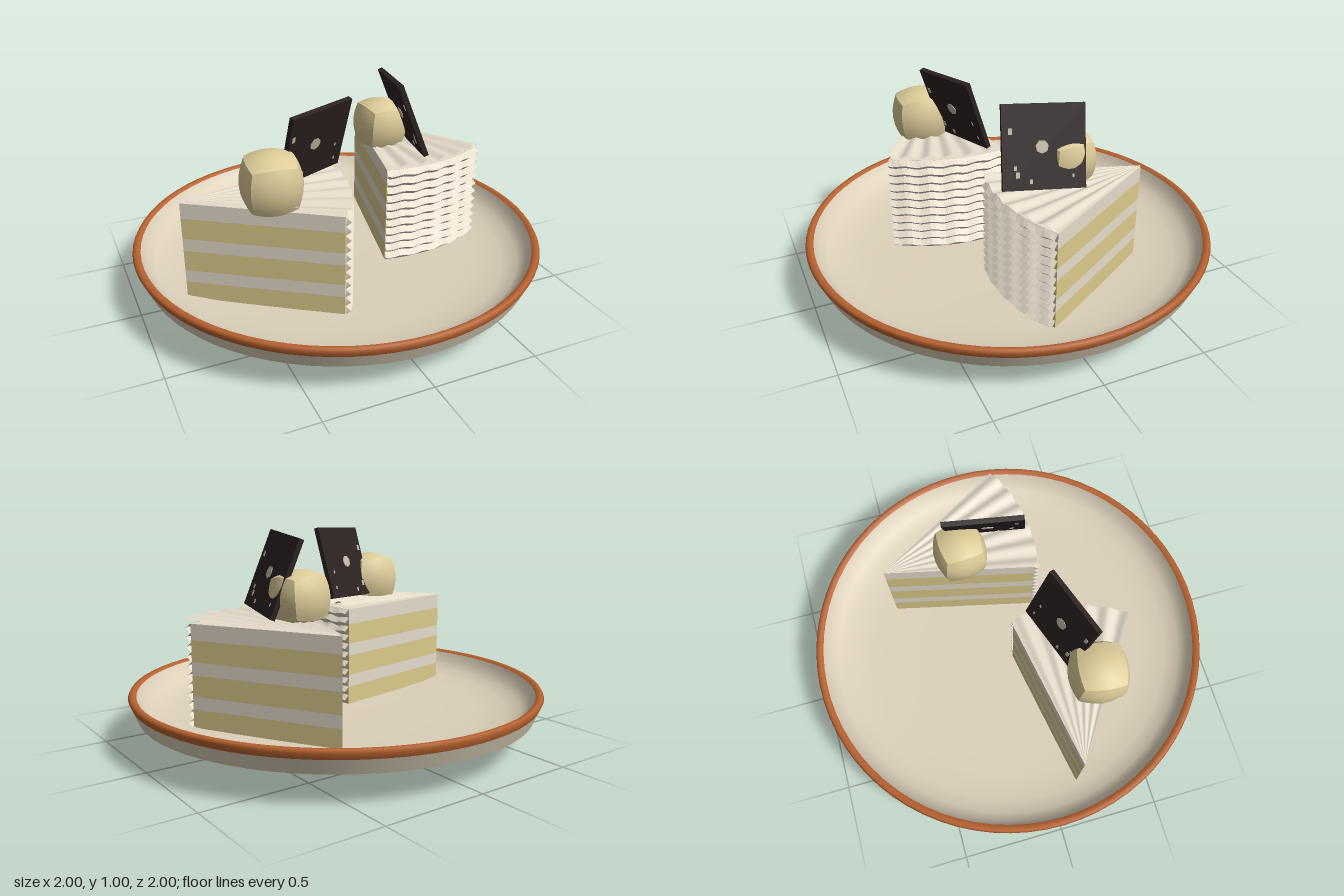
import * as THREE from 'three';

const mat = (name, color, side = THREE.FrontSide) => {
  const m = new THREE.MeshStandardMaterial({ color, side });
  m.name = name;
  return m;
};
const plateGlaze = mat('plate glaze', 0xddd1ba);
const rimOrange = mat('rim orange', 0xb8622f);
const cream = mat('cream', 0xe6dccb, THREE.DoubleSide);
const sponge = mat('sponge', 0xdccb8c);
const truffleYellow = mat('truffle yellow', 0xddcc98);
const chocolate = mat('chocolate', 0x2d2121);
const fleckGrey = mat('fleck', 0xc4bba6);

const HALF = 0.385; // half the opening angle of a slice
const R = 0.745, FLOOR = 0.12, TOP = 0.605;

function add(parent, name, geometry, material) {
  const m = new THREE.Mesh(geometry, material);
  m.name = name;
  parent.add(m);
  return m;
}
const lathe = (pts, segs, a, len) =>
  new THREE.LatheGeometry(pts.map(p => new THREE.Vector2(...p)), segs, a, len);

function flat(g) {
  const f = g.toNonIndexed();
  f.computeVertexNormals();
  return f;
}

// Wedge-shaped layer with its tip at the origin, opening towards +z
function wedge(y0, y1) {
  const s = new THREE.Shape();
  s.moveTo(0, 0);
  const n = 12;
  for (let i = 0; i <= n; i++) {
    const a = HALF - (2 * HALF * i) / n;
    s.lineTo((R - 0.015) * Math.sin(a), -(R - 0.015) * Math.cos(a));
  }
  const g = new THREE.ExtrudeGeometry(s, { depth: y1 - y0, bevelEnabled: false });
  g.rotateX(-Math.PI / 2);
  g.translate(0, y0, 0);
  return g;
}

// Zigzag frosting on the round back of a slice, with a slight waviness
function ridges() {
  const pts = [], n = 11, step = (TOP - FLOOR) / n;
  for (let i = 0; i <= n; i++) {
    pts.push([R - 0.014, FLOOR + i * step]);
    if (i < n) pts.push([R + 0.012, FLOOR + (i + 0.5) * step]);
  }
  const g = lathe(pts, 24, -HALF, 2 * HALF);
  const p = g.attributes.position;
  for (let i = 0; i < p.count; i++) {
    const y = p.getY(i);
    if (y > FLOOR + 0.01 && y < TOP - 0.01) {
      p.setY(i, y + 0.004 * Math.sin(Math.atan2(p.getX(i), p.getZ(i)) * 40));
    }
  }
  return flat(g);
}

// Rippled sheet fanning out from the tip
function topSheet() {
  const g = new THREE.PlaneGeometry(1, 1, 60, 8);
  const p = g.attributes.position;
  for (let i = 0; i < p.count; i++) {
    const u = p.getX(i), t = 0.5 - p.getY(i);
    const a = u * 2 * HALF, r = t * (R + 0.005);
    const y = 0.612 + t * (0.02 + 0.009 * Math.sin(u * Math.PI * 11));
    p.setXYZ(i, r * Math.sin(a), y, r * Math.cos(a));
  }
  g.computeVertexNormals();
  return g;
}

// Swollen cube with soft faces and creased edges
function truffle(radius) {
  const g = new THREE.BoxGeometry(2, 2, 2, 8, 8, 8);
  const p = g.attributes.position, v = new THREE.Vector3();
  for (let i = 0; i < p.count; i++) {
    v.fromBufferAttribute(p, i);
    v.lerp(v.clone().normalize(), 0.74).multiplyScalar(radius);
    p.setXYZ(i, v.x, v.y, v.z);
  }
  g.computeVertexNormals();
  return g;
}

// Leaning chocolate tile placed by its bottom and top middle points
function tile(bottom, top, along, width) {
  const group = new THREE.Group();
  group.name = 'chocolateTile';
  const b = new THREE.Vector3(...bottom), t = new THREE.Vector3(...top);
  const x = new THREE.Vector3(...along).normalize();
  const up = t.clone().sub(b), h = up.length();
  const z = x.clone().cross(up).normalize();
  const y = z.clone().cross(x);
  group.applyMatrix4(new THREE.Matrix4().makeBasis(x, y, z).setPosition(b.add(t).multiplyScalar(0.5)));
  const thick = 0.024;
  add(group, 'tileSlab', new THREE.BoxGeometry(width, h, thick), chocolate);
  // Pale spots showing on both faces
  const spot = new THREE.CylinderGeometry(0.03, 0.03, thick + 0.006, 7).rotateX(Math.PI / 2);
  add(group, 'centreSpot', spot, fleckGrey).position.set(-0.01, 0, 0);
  const flecks = [[0.12, -0.05], [-0.13, -0.09], [-0.15, 0.07], [0.13, -0.13], [-0.06, -0.15], [-0.12, -0.12]];
  flecks.forEach(([fx, fy], i) => {
    const s = 0.009 + 0.004 * (i % 3);
    add(group, 'fleck', new THREE.BoxGeometry(s, s * 1.6, thick + 0.004), fleckGrey).position.set(fx, fy, 0);
  });
  return group;
}

function slice(name, x, z, turn) {
  const g = new THREE.Group();
  g.name = name;
  g.position.set(x, 0, z);
  g.rotation.y = turn;
  const levels = [FLOOR, 0.21, 0.27, 0.37, 0.43, 0.53, TOP];
  for (let i = 0; i < 6; i++) {
    const isCream = i % 2 === 1;
    add(g, isCream ? 'creamLayer' : 'spongeLayer', wedge(levels[i], levels[i + 1]), isCream ? cream : sponge);
  }
  add(g, 'ridgedFrosting', ridges(), cream);
  add(g, 'rippledTop', topSheet(), cream);
  return g;
}

export function createModel() {
  const model = new THREE.Group();
  model.name = 'cakePlate';

  // Plate: underside, painted rim and dished inside
  const plate = new THREE.Group();
  plate.name = 'plate';
  model.add(plate);
  add(plate, 'plateBase', lathe([[0, 0], [0.58, 0]], 72), plateGlaze);
  add(plate, 'plateUnderside', lathe([[0.58, 0], [0.77, 0.07], [0.96, 0.14]], 72), plateGlaze);
  add(plate, 'plateSide', lathe([[0.96, 0.14], [0.988, 0.208]], 72), plateGlaze);
  add(plate, 'plateRim', lathe([[0.988, 0.208], [1, 0.235], [0.992, 0.249], [0.975, 0.25], [0.962, 0.24]], 72), rimOrange);
  add(plate, 'plateInside',
    lathe([[0.962, 0.24], [0.94, 0.2], [0.9, 0.165], [0.83, 0.14], [0.7, 0.124], [0.4, 0.117], [0, 0.115]], 72), plateGlaze);

  // Two slices
  model.add(slice('rightSlice', -0.8, 0.13, 1.361));
  model.add(slice('leftSlice', 0.35, -0.53, 0.157));

  // Truffles
  const t1 = add(model, 'rightTruffle', truffle(0.138), truffleYellow);
  t1.position.set(-0.435, 0.71, 0.3);
  t1.rotation.set(0.06, -0.12, 0.03);
  const t2 = add(model, 'leftTruffle', truffle(0.126), truffleYellow);
  t2.position.set(0.31, 0.718, -0.15);
  t2.rotation.set(0.04, 0.08, -0.04);

  // Chocolate tiles
  model.add(tile([-0.21, 0.645, 0.147], [-0.167, 0.99, 0.247], [0.33, 0.015, -0.12], 0.345));
  model.add(tile([0.43, 0.64, -0.01], [0.295, 0.99, -0.01], [0.075, -0.02, -0.36], 0.375));
  return model;
}
